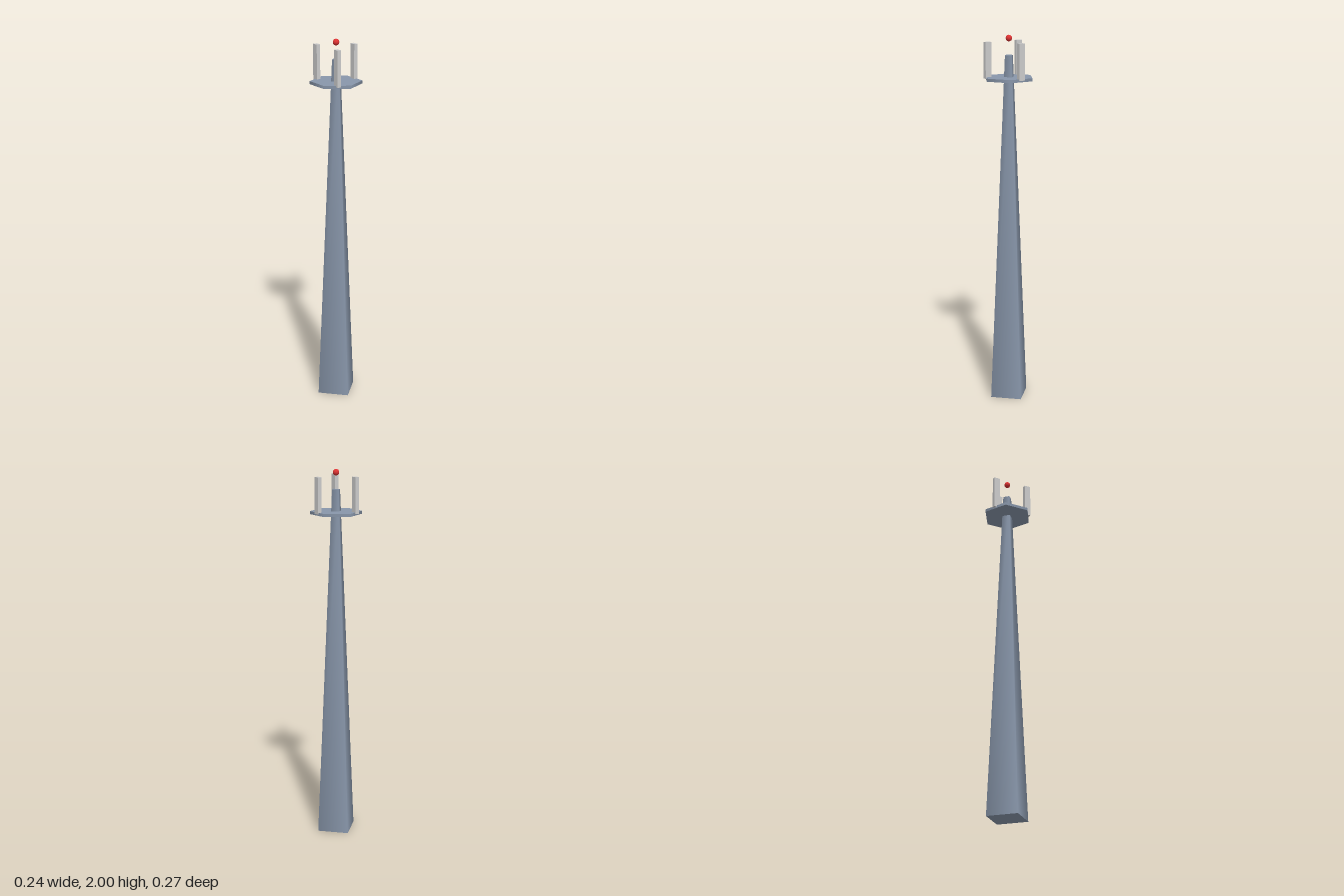
import * as THREE from 'three';

const X = -0.001; // small offset that centres the uneven ring of antennas

export function createModel() {
  const group = new THREE.Group();
  const steel = new THREE.MeshStandardMaterial({ color: 0x8896aa });
  const pale = new THREE.MeshStandardMaterial({ color: 0xcccccc });
  const red = new THREE.MeshStandardMaterial({ color: 0xdd3333 });

  const add = (name, geometry, material, x, y, z) => {
    const mesh = new THREE.Mesh(geometry, material);
    mesh.name = name;
    mesh.position.set(x + X, y, z);
    group.add(mesh);
  };

  // Tapered four-sided mast, corners on the axes
  const mastHeight = 1.895;
  add('mast', new THREE.CylinderGeometry(0.025, 0.119, mastHeight, 4), steel, 0, mastHeight / 2, 0);

  // Hexagonal platform
  const platformY = 1.774;
  add('platform', new THREE.CylinderGeometry(0.137, 0.137, 0.016, 6), steel, 0, platformY, 0);

  // Three upright antenna panels, all facing along x
  const panelHeight = 0.19;
  const panel = new THREE.BoxGeometry(0.021, panelHeight, 0.035);
  for (let i = 0; i < 3; i++) {
    const a = (i * Math.PI * 2) / 3;
    add(`antennaPanel${i + 1}`, panel, pale,
      0.112 * Math.cos(a), platformY + panelHeight / 2, 0.112 * Math.sin(a));
  }

  // Warning light floating above the mast
  add('warningLight', new THREE.SphereGeometry(0.017, 16, 12), red, 0, 1.983, 0);

  return group;
}
